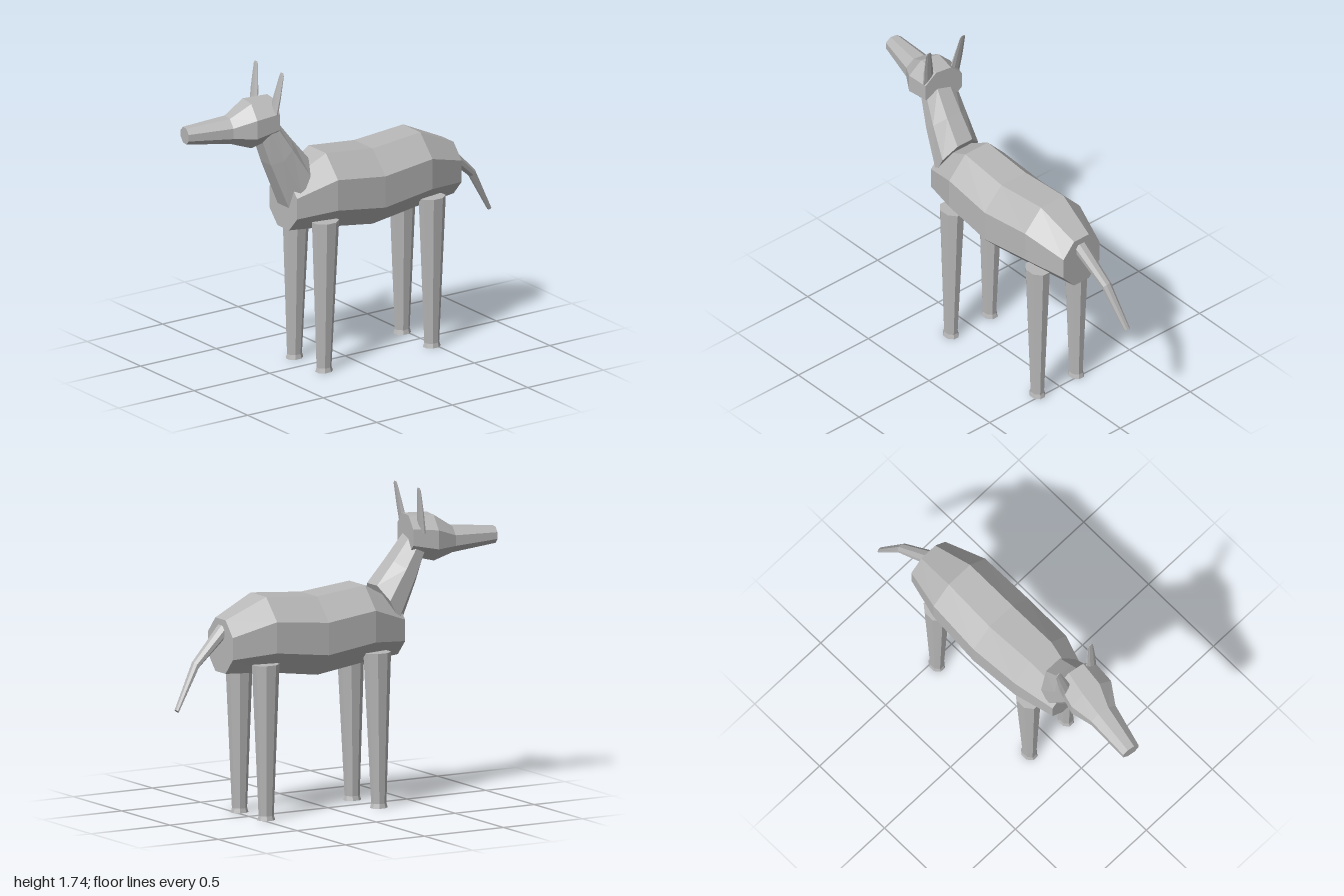
import * as THREE from 'three';

const SIDES = 8;

// Capped, faceted loft. Each ring: { c: centre, r: half-width vector, u: half-height vector };
// rings advance in the direction r x u.
function loft(rings) {
  const pos = [];
  const k = 1 / Math.cos(Math.PI / SIDES);
  const pts = rings.map(({ c, r, u }) =>
    Array.from({ length: SIDES }, (_, j) => {
      const a = ((j + 0.5) / SIDES) * Math.PI * 2;
      return c.map((v, i) => v + k * (Math.cos(a) * r[i] + Math.sin(a) * u[i]));
    }));
  const tri = (a, b, c) => pos.push(...a, ...b, ...c);
  const last = rings.length - 1;
  for (let j = 0; j < SIDES; j++) {
    const n = (j + 1) % SIDES;
    for (let i = 0; i < last; i++) {
      tri(pts[i][j], pts[i][n], pts[i + 1][n]);
      tri(pts[i][j], pts[i + 1][n], pts[i + 1][j]);
    }
    tri(rings[0].c, pts[0][n], pts[0][j]);
    tri(rings[last].c, pts[last][j], pts[last][n]);
  }
  const g = new THREE.BufferGeometry();
  g.setAttribute('position', new THREE.Float32BufferAttribute(pos, 3));
  g.computeVertexNormals();
  return g;
}

export function createModel() {
  const model = new THREE.Group();
  const grey = new THREE.MeshStandardMaterial({ color: 0xb8b8b8, flatShading: true });
  grey.name = 'plain grey';

  const add = (name, rings) => {
    const mesh = new THREE.Mesh(loft(rings), grey);
    mesh.name = name;
    model.add(mesh);
  };

  // Body, rump to chest: z, centre height, half-width, half-height
  add('body', [
    [-0.68, 0.955, 0.128, 0.147],
    [-0.44, 1.005, 0.195, 0.207],
    [-0.12, 0.97, 0.208, 0.215],
    [0.185, 1.007, 0.195, 0.21],
    [0.41, 0.955, 0.13, 0.142],
  ].map(([z, y, w, h]) => ({ c: [0, y, z], r: [w, 0, 0], u: [0, h, 0] })));

  // Neck, leaning forward and slightly to the right
  add('neck', [
    { c: [0, 1.07, 0.345], r: [0.127, 0, 0], u: [0, 0.13, -0.065] },
    { c: [-0.01, 1.263, 0.45], r: [0.115, 0, 0], u: [0, 0.062, -0.068] },
    { c: [-0.022, 1.43, 0.535], r: [0.1, 0, 0], u: [0, 0.03, -0.05] },
  ]);

  // Head, turned a little to the right: x, y, z, half-width, half-height
  add('head', [
    [-0.02, 1.46, 0.478, 0.115, 0.11],
    [-0.043, 1.44, 0.62, 0.13, 0.126],
    [-0.065, 1.42, 0.735, 0.08, 0.071],
    [-0.105, 1.425, 0.988, 0.05, 0.045],
  ].map(([x, y, z, w, h]) => ({ c: [x, y, z], r: [w * 0.986, 0, w * 0.165], u: [0, h, 0] })));

  // Thin upright ears, mirrored about the head
  for (const [side, name] of [[1, 'leftEar'], [-1, 'rightEar']]) {
    add(name, [
      [0.09, 1.48, 0.518, 0.036, 0.012],
      [0.106, 1.6, 0.5, 0.03, 0.008],
      [0.121, 1.722, 0.481, 0.018, 0.003],
      [0.121, 1.735, 0.479, 0.011, 0.002],
    ].map(([x, y, z, w, d]) => ({ c: [-0.035 + side * x, y, z], r: [w, 0, 0], u: [0, 0, -d] })));
  }

  // Tapered legs with slightly flared feet
  for (const [sx, sideName] of [[1, 'Left'], [-1, 'Right']]) {
    for (const [end, zTop, zFoot] of [['front', 0.228, 0.238], ['hind', -0.478, -0.475]]) {
      add(`${end}${sideName}Leg`, [
        [0.855, zTop, 0.058, 0.073],
        [0.025, zFoot, 0.033, 0.04],
        [0, zFoot, 0.039, 0.047],
      ].map(([y, z, w, d]) => ({ c: [sx * 0.138, y, z], r: [w, 0, 0], u: [0, 0, d] })));
    }
  }

  // Tail, drooping backward
  add('tail', [
    [0, 1.045, -0.66, 0.04, 0.034],
    [-0.027, 0.87, -0.855, 0.028, 0.021],
    [-0.057, 0.633, -0.992, 0.018, 0.01],
  ].map(([x, y, z, w, d]) => ({ c: [x, y, z], r: [-w, 0, 0], u: [0, d * 0.72, -d * 0.7] })));

  return model;
}
